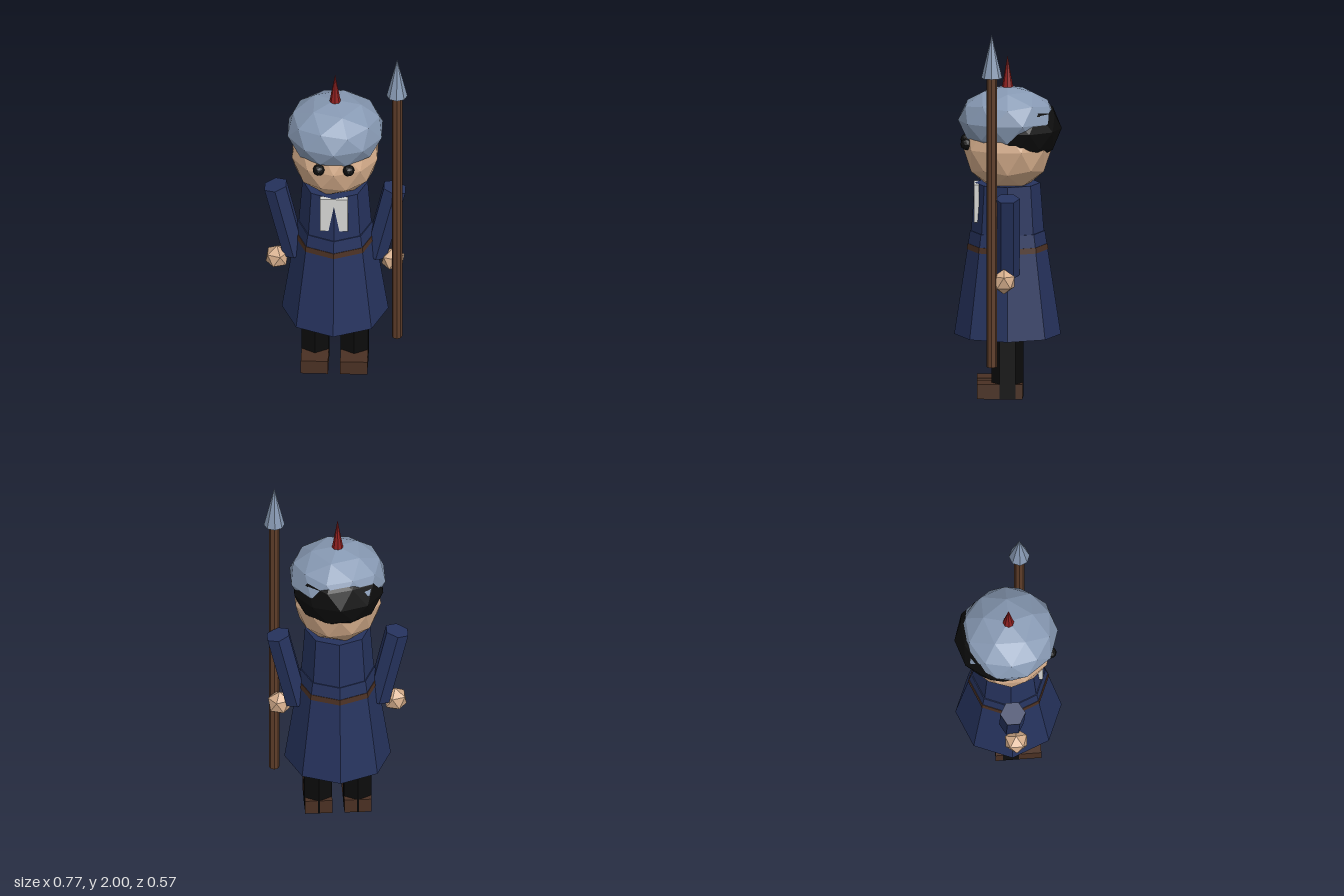
import * as THREE from 'three';

const mat = (name, color) => {
  const m = new THREE.MeshStandardMaterial({ color, flatShading: true });
  m.name = name;
  return m;
};

export function createModel() {
  const navy = mat('navy cloth', 0x26335e);
  const steel = mat('steel', 0x8799b3);
  const skin = mat('skin', 0xd6ae8c);
  const black = mat('black', 0x0c0c0c);
  const leather = mat('leather', 0x4a3023);
  const wood = mat('wood', 0x5e3d29);
  const red = mat('red', 0x8e1f1f);
  const linen = mat('linen', 0xd6d6d3);

  const model = new THREE.Group();
  model.name = 'guard';
  const figure = new THREE.Group();
  figure.name = 'figure';
  figure.position.x = -0.007;
  model.add(figure);

  const add = (name, geometry, material, x, y, z, parent = figure) => {
    const mesh = new THREE.Mesh(geometry, material);
    mesh.name = name;
    mesh.position.set(x, y, z);
    parent.add(mesh);
    return mesh;
  };
  // Faceted ball with one vertex at the top, optionally squashed in height
  const ball = (r, detail, squash = 1) =>
    new THREE.IcosahedronGeometry(r, detail)
      .rotateZ(-Math.atan(2 / (1 + Math.sqrt(5))))
      .scale(1, squash, 1);
  // Cylinder or cone standing between two heights
  const column = (name, rTop, rBottom, y0, y1, sides, material, x = 0, z = 0, parent = figure) =>
    add(name, new THREE.CylinderGeometry(rTop, rBottom, y1 - y0, sides), material, x, (y0 + y1) / 2, z, parent);

  // Coat
  column('coatSkirt', 0.2, 0.285, 0.325, 0.885, 8, navy);
  column('coatTorso', 0.175, 0.195, 0.88, 1.145, 8, navy);
  column('belt', 0.2135, 0.218, 0.785, 0.815, 8, leather);
  add('bib', new THREE.BoxGeometry(0.148, 0.205, 0.027), linen, 0, 1.042, 0.165);

  // Head, hair and helmet
  add('head', ball(0.24, 1), skin, 0, 1.34, 0);
  add('hair', ball(0.25, 1, 0.8), black, 0, 1.44, -0.04);
  add('helmet', ball(0.265, 1, 0.7), steel, 0, 1.485, 0);
  column('helmetSpike', 0, 0.035, 1.635, 1.835, 8, red);

  // Paired parts
  for (const side of [1, -1]) {
    const label = side > 0 ? 'left' : 'right';
    add(label + 'Eye', ball(0.032, 1), black, side * 0.08, 1.365, 0.22);
    const arm = add(label + 'Arm', new THREE.CylinderGeometry(0.068, 0.066, 0.44, 6), navy, side * 0.269, 0.895, 0);
    arm.rotation.z = -side * 0.23;
    add(label + 'Hand', ball(0.068, 0), skin, side * 0.31, 0.658, 0.018);
    column(label + 'Leg', 0.085, 0.085, 0.002, 0.36, 6, black, side * 0.105);
    add(label + 'Shoe', new THREE.BoxGeometry(0.146, 0.08, 0.245), leather, side * 0.105, 0.04, 0.0405);
  }

  // Spear
  const spear = new THREE.Group();
  spear.name = 'spear';
  spear.position.set(0.327, 0, 0.083);
  model.add(spear);
  column('spearShaft', 0.028, 0.028, 0.2, 1.8, 8, wood, 0, 0, spear);
  column('spearTip', 0, 0.056, 1.765, 2, 8, steel, 0, 0, spear);

  return model;
}
